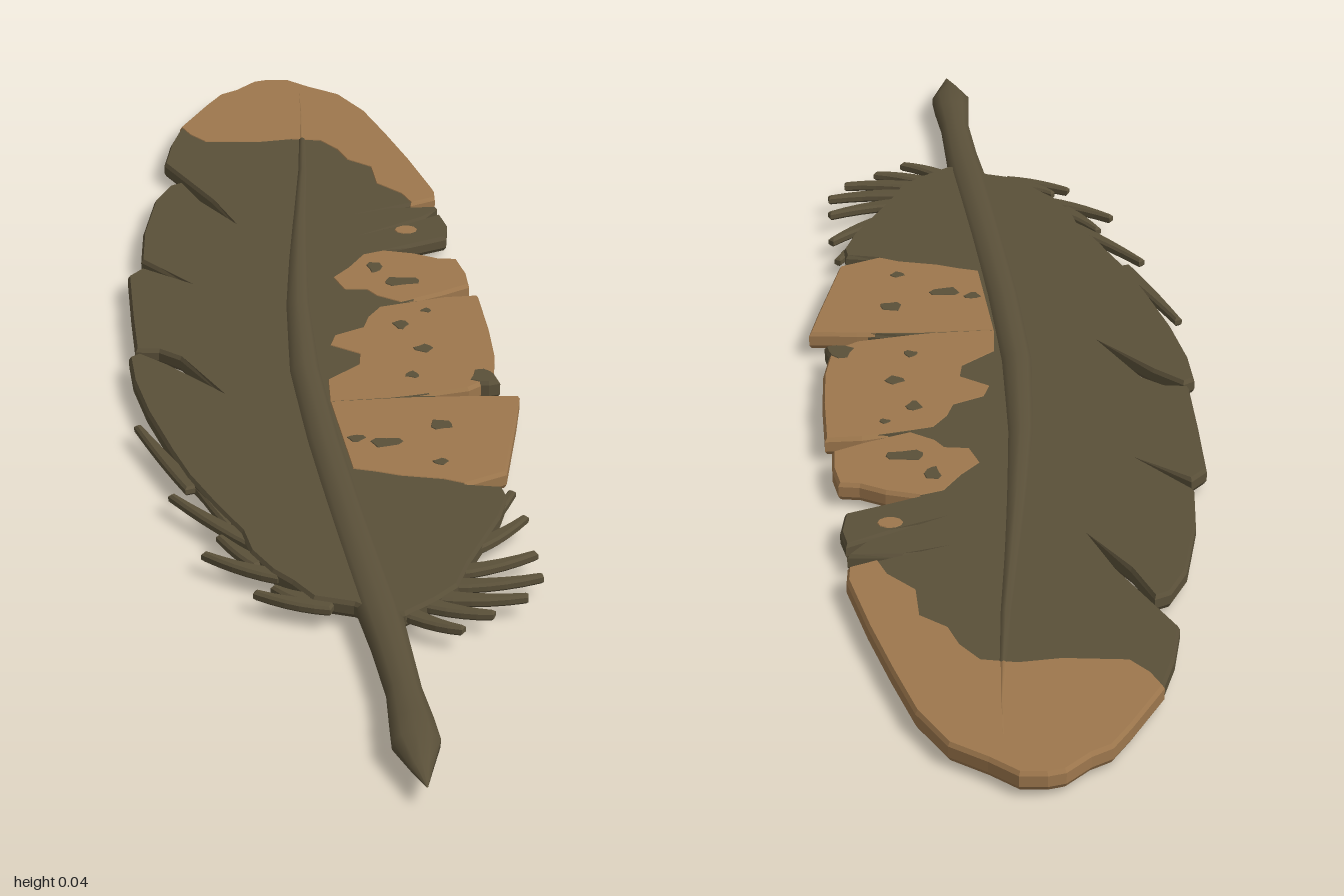
import * as THREE from 'three';

const olive = new THREE.MeshStandardMaterial({ color: 0x5a5039 });
olive.name = 'dark olive';
const tan = new THREE.MeshStandardMaterial({ color: 0x9d774d });
tan.name = 'warm tan';

const MID = 0.0225; // height of the vane's middle plane
const lift = (z) => MID + 0.004 * z;

// Flat slab with softened edges, from an outline shape drawn in (x, -z)
function slab(name, shape, material, thickness, grow = 0) {
  const bevel = Math.min(0.005, thickness / 4);
  const geo = new THREE.ExtrudeGeometry(shape, {
    depth: thickness - 2 * bevel, bevelEnabled: true, bevelSegments: 1, curveSegments: 5,
    bevelThickness: bevel, bevelSize: 0.003, bevelOffset: -0.003 + grow,
  });
  geo.translate(0, 0, -(thickness - 2 * bevel) / 2);
  geo.rotateX(-Math.PI / 2);
  const p = geo.attributes.position;
  for (let i = 0; i < p.count; i++) p.setY(i, p.getY(i) + lift(p.getZ(i)));
  geo.computeVertexNormals();
  const mesh = new THREE.Mesh(geo, material);
  mesh.name = name;
  return mesh;
}
const outline = (pts) => new THREE.Shape(pts.map(([x, z]) => new THREE.Vector2(x, -z)));

// Tapered oval rod through rows of [z, centre x, half width, half height]
function rod(name, rows, material) {
  const sides = 10;
  const geo = new THREE.CylinderGeometry(1, 1, 1, sides, rows.length - 1, true);
  geo.rotateX(Math.PI / 2);
  const p = geo.attributes.position;
  for (let i = 0; i < p.count; i++) {
    const [z, cx, w, h] = rows[Math.floor(i / (sides + 1))];
    p.setXYZ(i, cx + p.getX(i) * w, lift(z) + p.getY(i) * h, z);
  }
  geo.computeVertexNormals();
  const mesh = new THREE.Mesh(geo, material);
  mesh.name = name;
  return mesh;
}

// Vane edge, lobe by lobe: up the right-hand (-x) side, over the tip, down the +x side
const baseMinus = [[-0.01, 0.64], [-0.035, 0.61], [-0.08, 0.59], [-0.1, 0.55], [-0.12, 0.52],
  [-0.14, 0.47], [-0.145, 0.42], [-0.17, 0.35], [-0.195, 0.27]];
const lobesMinus = [
  [-0.21, 0.2], [-0.23, 0.09], [-0.24, 0.0], [-0.24, -0.07], [-0.225, -0.08], [-0.19, -0.04], [-0.13, 0.05],
  [-0.175, -0.06], [-0.2, -0.085], [-0.23, -0.09], [-0.227, -0.2], [-0.222, -0.32], [-0.2, -0.345], [-0.14, -0.285],
  [-0.18, -0.34], [-0.2, -0.37], [-0.19, -0.46], [-0.165, -0.57], [-0.14, -0.62], [-0.12, -0.63],
  [-0.1, -0.56], [-0.06, -0.475], [-0.085, -0.56], [-0.14, -0.7], [-0.125, -0.77]];
const tipMinus = [[-0.105, -0.83], [-0.06, -0.91], [-0.035, -0.95], [-0.01, -0.965], [0.02, -0.995]];
const tipPlus = [[0.04, -1], [0.07, -0.997], [0.1, -0.965], [0.14, -0.93], [0.17, -0.86], [0.19, -0.77],
  [0.21, -0.67], [0.228, -0.56], [0.225, -0.53], [0.19, -0.515]];
const smallLobes = [[0.1, -0.485], [0.16, -0.505], [0.225, -0.5], [0.2, -0.465], [0.105, -0.415],
  [0.17, -0.445], [0.225, -0.475], [0.23, -0.44], [0.222, -0.395], [0.17, -0.375]];
const lobeA = [[0.13, -0.36], [0.17, -0.345], [0.2, -0.325], [0.225, -0.32], [0.23, -0.28], [0.228, -0.235],
  [0.19, -0.215], [0.13, -0.19]];
const lobeB = [[0.19, -0.2], [0.235, -0.2], [0.233, -0.1], [0.228, -0.02], [0.215, 0.05], [0.18, 0.075], [0.11, 0.088]];
const lobeC = [[0.18, 0.098], [0.24, 0.105], [0.225, 0.17], [0.205, 0.25], [0.19, 0.31], [0.135, 0.335]];
const basePlus = [[0.18, 0.345], [0.182, 0.37], [0.165, 0.42], [0.14, 0.47], [0.11, 0.53], [0.09, 0.58],
  [0.06, 0.61], [0.02, 0.64]];

// Tan markings: the vane edge closed by a ragged inner border
const markings = {
  tipMarking: [...tipMinus, ...tipPlus, [0.18, -0.55], [0.15, -0.59], [0.15, -0.65], [0.12, -0.68], [0.11, -0.72],
    [0.09, -0.755], [0.05, -0.765], [0.0, -0.76], [-0.075, -0.77], [-0.095, -0.8]],
  upperMarking: [...lobeA, [0.1, -0.215], [0.09, -0.235], [0.06, -0.24], [0.05, -0.28], [0.075, -0.31], [0.1, -0.35]],
  middleMarking: [...lobeB, [0.08, 0.092], [0.0, 0.093], [0.005, 0.03], [0.05, -0.01], [0.055, -0.04], [0.02, -0.07],
    [0.03, -0.1], [0.07, -0.12], [0.08, -0.15], [0.1, -0.18], [0.13, -0.187]],
  lowerMarking: [[0.0, 0.092], [0.1, 0.092], ...lobeC, [0.11, 0.32], [0.06, 0.305], [0.03, 0.29], [0.005, 0.28]],
};

// Dark specks on the markings: x, z, radius along x, radius along z
const specks = [[0.14, -0.255, 0.027, 0.016], [0.11, -0.305, 0.012, 0.02], [0.12, -0.12, 0.012, 0.016],
  [0.14, -0.045, 0.015, 0.014], [0.115, 0.03, 0.012, 0.012], [0.205, 0.045, 0.02, 0.022], [0.13, 0.175, 0.017, 0.016],
  [0.055, 0.215, 0.022, 0.015], [0.02, 0.2, 0.013, 0.012], [0.115, 0.275, 0.012, 0.011], [0.16, -0.16, 0.01, 0.009]];

// Loose barbs at the base: root x, z, then end x, z
const barbs = [[-0.19, 0.29, -0.243, 0.12], [-0.15, 0.39, -0.19, 0.26], [-0.13, 0.44, -0.217, 0.31],
  [-0.11, 0.52, -0.192, 0.46], [-0.13, 0.49, -0.17, 0.42], [-0.06, 0.6, -0.142, 0.56], [-0.08, 0.58, -0.12, 0.55],
  [0.12, 0.46, 0.19, 0.35], [0.12, 0.48, 0.195, 0.415], [0.09, 0.535, 0.192, 0.505], [0.08, 0.565, 0.19, 0.56],
  [0.06, 0.59, 0.165, 0.605], [0.04, 0.6, 0.12, 0.64], [0.02, 0.62, 0.08, 0.67]];

export function createModel() {
  const feather = new THREE.Group();
  feather.name = 'feather';

  // Vane
  feather.add(slab('vane', outline([...baseMinus, ...lobesMinus, ...tipMinus, ...tipPlus, ...smallLobes,
    ...lobeA, ...lobeB, ...lobeC, ...basePlus]), olive, 0.021));

  // Markings wrap both faces and the edge
  for (const [name, pts] of Object.entries(markings)) feather.add(slab(name, outline(pts), tan, 0.023, 0.001));
  feather.add(slab('smallLobeMarking',
    new THREE.Shape().absellipse(0.17, 0.425, 0.018, 0.016, 0, Math.PI * 2), tan, 0.023));

  // Specks
  specks.forEach(([x, z, rx, rz], i) => {
    const pts = [];
    for (let k = 0; k < 9; k++) {
      const a = (k / 9) * Math.PI * 2, r = 1 + 0.2 * Math.sin(k * 2.4 + i);
      pts.push([x + rx * r * Math.cos(a), z + rz * r * Math.sin(a)]);
    }
    feather.add(slab('speck', outline(pts), olive, 0.025));
  });

  // Loose barbs, slightly curved
  for (const [x0, z0, x1, z1] of barbs) {
    const len = Math.hypot(x1 - x0, z1 - z0);
    const nx = -(z1 - z0) / len, nz = (x1 - x0) / len;
    const mx = (x0 + x1) / 2, mz = (z0 + z1) / 2 + 0.012;
    const shape = new THREE.Shape();
    shape.moveTo(x0 + nx * 0.009, -(z0 + nz * 0.009));
    shape.quadraticCurveTo(mx + nx * 0.006, -(mz + nz * 0.006), x1 + nx * 0.002, -(z1 + nz * 0.002));
    shape.lineTo(x1 - nx * 0.002, -(z1 - nz * 0.002));
    shape.quadraticCurveTo(mx - nx * 0.006, -(mz - nz * 0.006), x0 - nx * 0.009, -(z0 - nz * 0.009));
    feather.add(slab('looseBarb', shape, olive, 0.012, 0.003));
  }

  // Quill and shaft
  feather.add(rod('shaft', [[1, -0.007, 0.0005, 0.0005], [0.96, -0.007, 0.013, 0.009], [0.91, -0.006, 0.028, 0.017],
    [0.87, -0.005, 0.026, 0.017], [0.8, -0.004, 0.021, 0.015], [0.7, -0.005, 0.023, 0.016], [0.62, -0.007, 0.026, 0.018],
    [0.4, -0.015, 0.025, 0.019], [0.2, -0.02, 0.024, 0.021], [0, -0.02, 0.023, 0.022], [-0.2, -0.006, 0.019, 0.02],
    [-0.35, 0.012, 0.016, 0.018], [-0.5, 0.032, 0.012, 0.016], [-0.65, 0.053, 0.009, 0.0145],
    [-0.765, 0.066, 0.007, 0.0135]], olive));
  feather.add(rod('shaftTip', [[-0.765, 0.066, 0.007, 0.0135], [-0.85, 0.075, 0.005, 0.0125],
    [-0.95, 0.083, 0.001, 0.0115]], tan));

  return feather;
}
